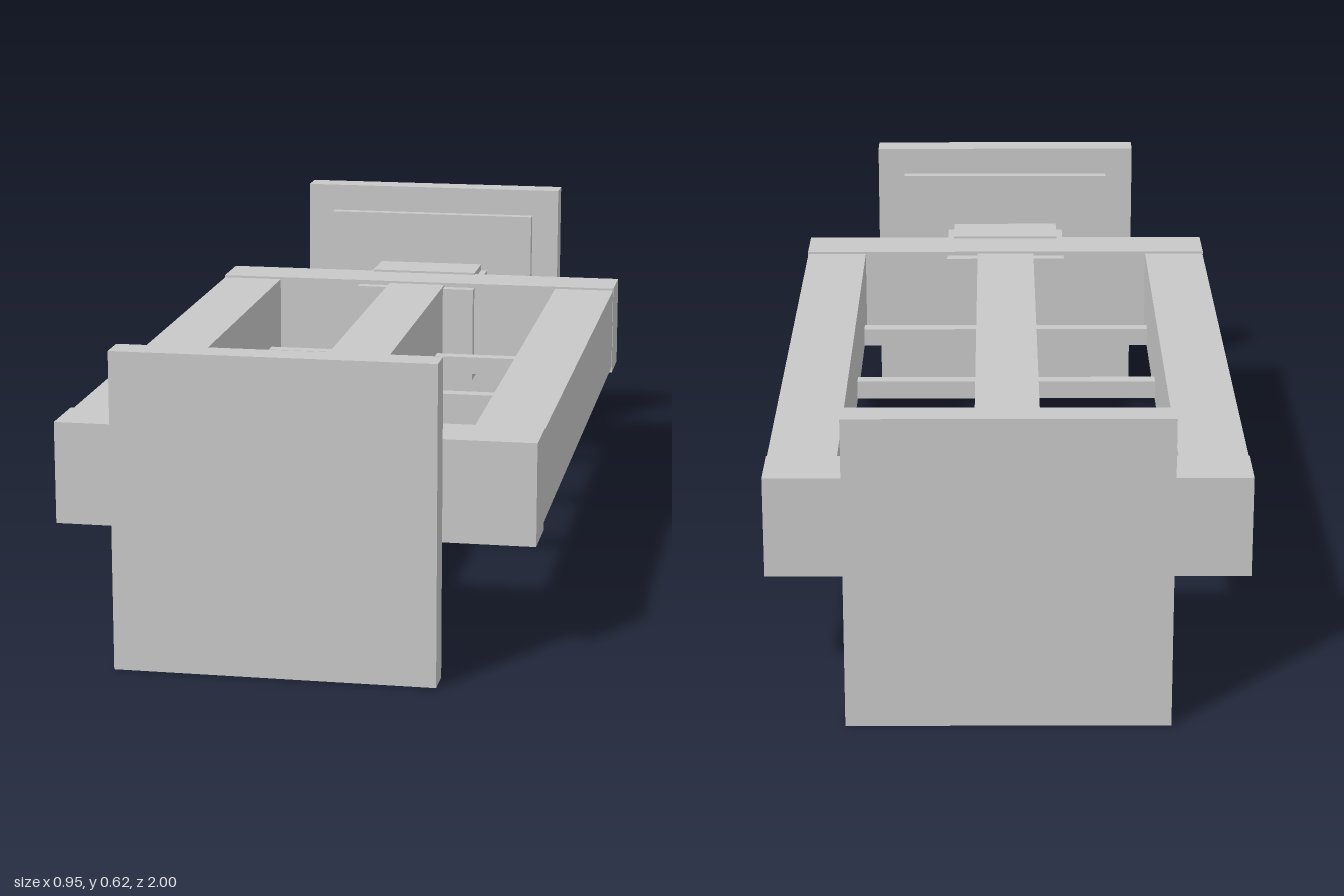
import * as THREE from 'three';

export function createModel() {
  const model = new THREE.Group();
  const grey = new THREE.MeshStandardMaterial({ color: 0xc8c8c8 });
  grey.name = 'lightGrey';

  // Box given by its min and max on each axis
  function box(parent, name, [x0, x1], [y0, y1], [z0, z1]) {
    const mesh = new THREE.Mesh(new THREE.BoxGeometry(x1 - x0, y1 - y0, z1 - z0), grey);
    mesh.position.set((x0 + x1) / 2, (y0 + y1) / 2, (z0 + z1) / 2);
    mesh.name = name;
    parent.add(mesh);
  }

  // Lengthwise beams
  box(model, 'centreBeam', [-0.067, 0.067], [0.243, 0.43], [-0.7, 0.7]);
  for (const [name, s] of [['left', 1], ['right', -1]]) {
    const c = s * 0.405;
    box(model, name + 'Rail', [c - 0.069, c + 0.069], [0.243, 0.43], [-0.7, 0.7]);
    // Rungs between centre beam and rail
    for (const z of [-0.563, -0.187, 0.188, 0.563]) {
      const r = s * 0.202;
      box(model, name + 'Rung', [r - 0.136, r + 0.136], [0.246, 0.286], [z - 0.016, z + 0.016]);
    }
  }

  // Both ends: cross beam, coupling neck and stepped end plate
  for (const [name, turn] of [['front', 0], ['back', Math.PI]]) {
    const end = new THREE.Group();
    end.name = name + 'End';
    end.rotation.y = turn;
    box(end, 'crossBeam', [-0.475, 0.475], [0.23, 0.435], [0.69, 0.812]);
    box(end, 'neckCore', [-0.14, 0.14], [0.203, 0.425], [0.665, 0.915]);
    box(end, 'neckSleeve', [-0.125, 0.125], [0.188, 0.44], [0.8, 0.915]);
    box(end, 'backingPlate', [-0.248, 0.248], [0.065, 0.562], [0.912, 0.94]);
    box(end, 'endPlate', [-0.312, 0.312], [0, 0.625], [0.937, 1]);
    model.add(end);
  }
  return model;
}
